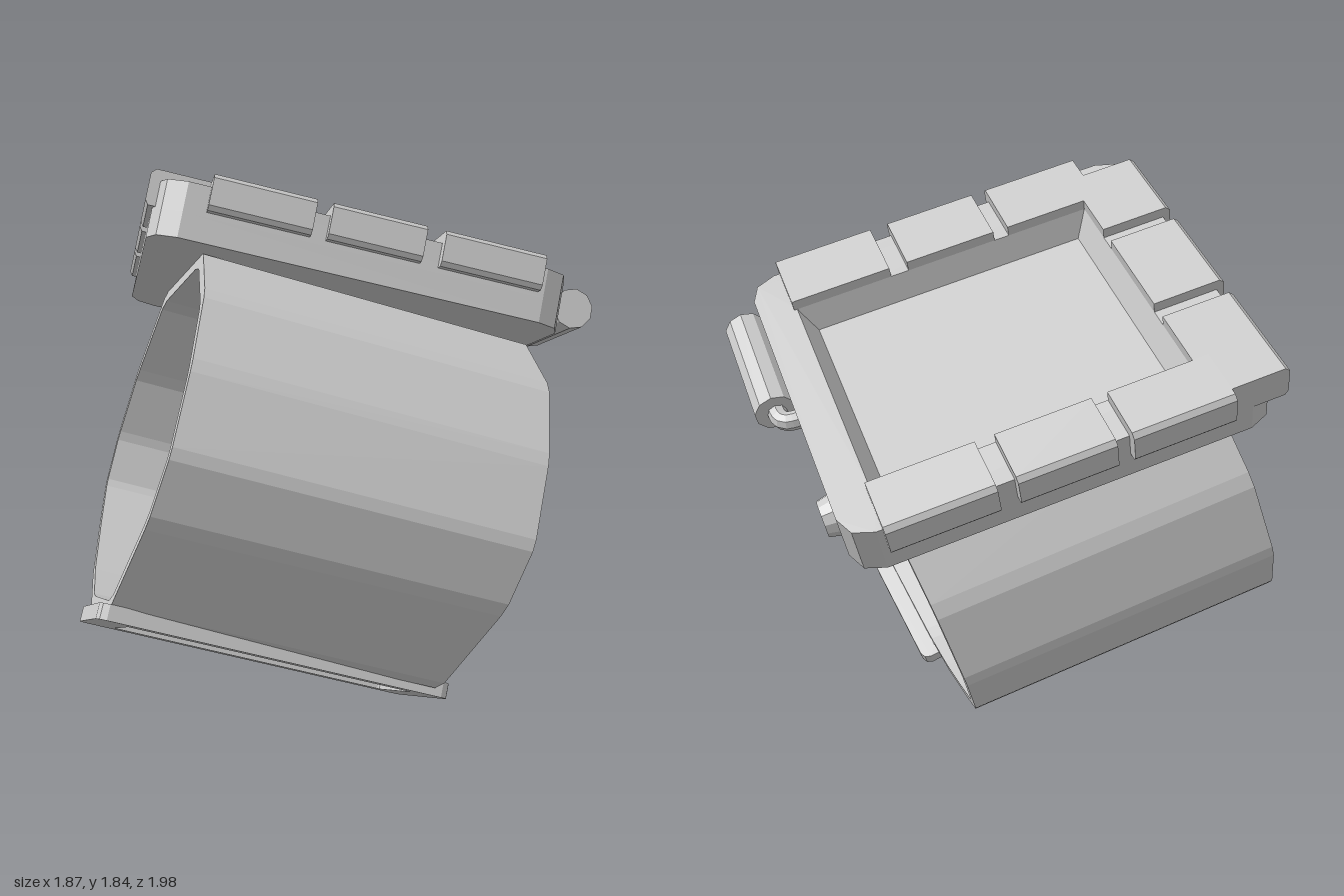
import * as THREE from 'three';

const grey = new THREE.MeshStandardMaterial({ color: 0xcccccc, flatShading: true, side: THREE.DoubleSide });

function addMesh(parent, name, geometry) {
  const mesh = new THREE.Mesh(geometry, grey);
  mesh.name = name;
  parent.add(mesh);
  return mesh;
}

// Box given by its limits on each axis
function boxBetween(x0, x1, y0, y1, z0, z1) {
  return new THREE.BoxGeometry(x1 - x0, y1 - y0, z1 - z0)
    .translate((x0 + x1) / 2, (y0 + y1) / 2, (z0 + z1) / 2);
}

const toPoints = (list) => list.map(([a, b]) => new THREE.Vector2(a, b));

// Rectangle outline with bevelled corners: [x, -z] in shape space
function slabOutline(x0, x1, z0, z1, r) {
  const k = r * 0.3;
  const quarter = [[0, r], [k, k], [r, 0]];
  const out = [];
  for (const [cx, cz, sx, sz, flip] of [[x0, z0, 1, 1, 0], [x1, z0, -1, 1, 1], [x1, z1, -1, -1, 0], [x0, z1, 1, -1, 1]]) {
    const q = flip ? [...quarter].reverse() : quarter;
    for (const [dx, dz] of q) out.push([cx + sx * dx, -(cz + sz * dz)]);
  }
  return toPoints(out);
}

// Flat slab with rectangular window, between heights y0 and y1
function windowSlab(outer, hole, y0, y1) {
  const shape = new THREE.Shape(slabOutline(...outer));
  shape.holes.push(new THREE.Path(slabOutline(...hole)));
  return new THREE.ExtrudeGeometry(shape, { depth: y1 - y0, bevelEnabled: false })
    .rotateX(-Math.PI / 2).translate(0, y0, 0);
}

// Cut every corner of a closed outline to give narrow strips between facets
function chamfer(points, t) {
  const n = points.length, out = [];
  points.forEach((p, i) => {
    out.push(p.clone().lerp(points[(i + n - 1) % n], t), p.clone().lerp(points[(i + 1) % n], t));
  });
  return out;
}

// Armour block along one edge: outer top edge bevelled, run along its length
function edgeBlock(width, length) {
  const shape = new THREE.Shape(toPoints([
    [0, 0], [width - 0.01, 0], [width, 0.015], [width, 0.1], [width - 0.015, 0.115], [0, 0.115],
  ]));
  return new THREE.ExtrudeGeometry(shape, { depth: length, bevelEnabled: false });
}

export function createModel() {
  const model = new THREE.Group();
  model.name = 'wristDevice';
  // Everything is built square, then tipped and turned
  const device = new THREE.Group();
  device.name = 'device';
  device.rotation.set(-0.424, 0.628, 0);
  model.add(device);

  // Faceted wrist band, section as [z, y]
  const section = [
    [0.0, 1.25], [-0.29, 0.99], [-0.41, 0.74], [-0.4, 0.54], [-0.24, 0.38], [-0.03, 0.2], [0.17, 0.1],
    [0.66, 0.115], [1.03, 0.4], [1.13, 0.59], [1.1, 0.85], [0.99, 1.08], [0.72, 1.26],
  ];
  const outer = chamfer(toPoints(section.map(([z, y]) => [-z, y])), 0.08);
  const inner = outer.map((p) => new THREE.Vector2(-0.38 + (p.x + 0.38) * 0.95, 0.6 + (p.y - 0.6) * 0.93));
  const bandShape = new THREE.Shape(outer);
  bandShape.holes.push(new THREE.Path(inner));
  // The band ends are cut slightly askew
  const skew = new THREE.Matrix4().set(1, 0, 0.085, 0, 0, 1, 0, 0, 0, 0, 1, 0, 0, 0, 0, 1);
  const band = addMesh(device, 'band', new THREE.ExtrudeGeometry(bandShape, { depth: 1.07, bevelEnabled: false })
    .rotateY(Math.PI / 2).translate(-0.535, -0.68, -0.38).applyMatrix4(skew));
  band.position.set(-0.27, 0.68, 0.38);
  band.rotation.z = -0.045;

  // Clasp frame below the band, a little out of square
  const clasp = addMesh(device, 'claspFrame',
    windowSlab([-0.58, 0.58, -0.24, 0.24, 0.03], [-0.47, 0.48, -0.15, 0.15, 0.01], -0.025, 0.025));
  clasp.position.set(-0.28, 0.09, 0.417);
  clasp.rotation.set(-0.1, 0.09, -0.04);

  // Display housing: base, rim, sloped window walls and screen
  const base = new THREE.Shape(slabOutline(-0.93, 0.4, -0.28, 0.86, 0.09));
  addMesh(device, 'housingBase', new THREE.ExtrudeGeometry(base, { depth: 0.08, bevelEnabled: false })
    .rotateX(-Math.PI / 2).translate(0, 1.27, 0));
  addMesh(device, 'housingRim',
    windowSlab([-0.93, 0.4, -0.28, 0.86, 0.09], [-0.72, 0.28, -0.13, 0.67, 0.005], 1.35, 1.445));
  addMesh(device, 'windowWalls', new THREE.CylinderGeometry(Math.SQRT1_2, 0.64, 0.09, 4, 1, true)
    .rotateY(Math.PI / 4).scale(1, 1, 0.8).translate(-0.22, 1.4, 0.27));
  addMesh(device, 'screen', boxBetween(-0.71, 0.27, 1.345, 1.362, -0.12, 0.66));

  // Armour blocks on the two long edges
  for (const [x0, x1] of [[-0.77, -0.45], [-0.4, -0.1], [-0.04, 0.29]]) {
    const front = addMesh(device, 'frontEdgeBlock', edgeBlock(0.225, x1 - x0));
    front.rotation.y = -Math.PI / 2;
    front.position.set(x1, 1.365, 0.67);
    const back = addMesh(device, 'backEdgeBlock', edgeBlock(0.185, x1 - x0));
    back.rotation.y = Math.PI / 2;
    back.position.set(x0, 1.365, -0.13);
  }
  // Armour blocks on the short edge
  for (const [z0, z1] of [[-0.28, 0.07], [0.13, 0.45], [0.51, 0.79]]) {
    const side = addMesh(device, 'sideEdgeBlock', edgeBlock(0.235, z1 - z0));
    side.rotation.y = Math.PI;
    side.position.set(-0.72, 1.365, z1);
  }

  // Round button on the end wall
  addMesh(device, 'button', new THREE.CylinderGeometry(0.055, 0.067, 0.05, 12)
    .rotateZ(-Math.PI / 2).translate(0.41, 1.355, -0.1));

  // Barrel lug with a bent pipe into the wall
  addMesh(device, 'barrel', new THREE.CylinderGeometry(0.066, 0.066, 0.4, 10)
    .rotateX(Math.PI / 2).translate(0.455, 1.37, 0.545));
  const bend = new THREE.CatmullRomCurve3([
    new THREE.Vector3(0.45, 1.37, 0.37), new THREE.Vector3(0.45, 1.37, 0.32),
    new THREE.Vector3(0.435, 1.37, 0.295), new THREE.Vector3(0.38, 1.37, 0.285),
  ]);
  addMesh(device, 'pipe', new THREE.TubeGeometry(bend, 8, 0.03, 8));

  return model;
}
